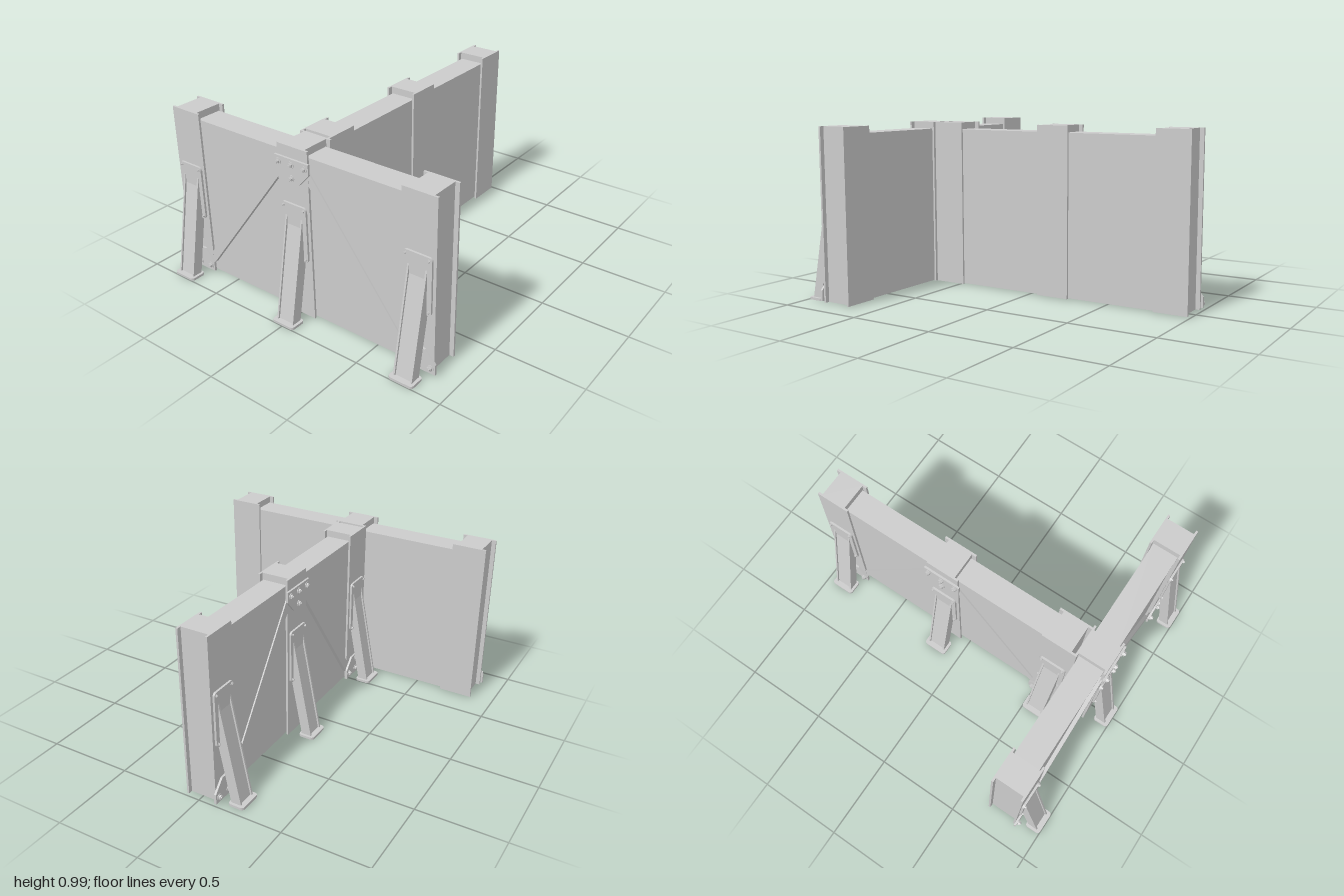
import * as THREE from 'three';

const grey = new THREE.MeshStandardMaterial({ color: 0xcccccc, flatShading: true });
const FACE = 0.092; // front face of the post flanges, measured from the wall's middle

function add(parent, name, geometry, x = 0, y = 0, z = 0) {
  const mesh = new THREE.Mesh(geometry, grey);
  mesh.name = name;
  mesh.position.set(x, y, z);
  parent.add(mesh);
  return mesh;
}

const box = (w, h, d) => new THREE.BoxGeometry(w, h, d);

function extrude(shape, depth) {
  return new THREE.ExtrudeGeometry(shape, { depth, bevelEnabled: false, curveSegments: 4 });
}

const polygon = (points) => new THREE.Shape(points.map(([x, y]) => new THREE.Vector2(x, y)));

function roundedPlate(w, h, r, depth) {
  const s = new THREE.Shape();
  const a = w / 2, b = h / 2;
  s.absarc(a - r, b - r, r, 0, Math.PI / 2);
  s.absarc(-a + r, b - r, r, Math.PI / 2, Math.PI);
  s.absarc(-a + r, -b + r, r, Math.PI, Math.PI * 1.5);
  s.absarc(a - r, -b + r, r, Math.PI * 1.5, Math.PI * 2);
  return extrude(s, depth);
}

// Washer with a hexagonal head and a stud end, pointing to +z
function addBolt(parent, x, y, z, r) {
  const bolt = new THREE.Group();
  bolt.name = 'bolt';
  bolt.position.set(x, y, z);
  const layers = [['washer', r, 0.2, 16], ['hexHead', r * 0.72, 0.75, 6], ['stud', r * 0.4, 1, 10]];
  for (const [name, radius, height, sides] of layers) {
    const h = height * r;
    add(bolt, name, new THREE.CylinderGeometry(radius, radius, h, sides).rotateX(Math.PI / 2), 0, 0, h / 2);
  }
  parent.add(bolt);
}

// Box post with wide flanges at front and back
function addPost(parent, x) {
  const post = new THREE.Group();
  post.name = 'post';
  post.position.x = x;
  add(post, 'postCore', box(0.15, 0.98, 0.17), 0, 0.495, 0);
  for (const side of [-1, 1]) {
    add(post, 'postFlange', box(0.2, 0.98, 0.012), 0, 0.495, side * (FACE - 0.006));
  }
  parent.add(post);
}

// Bolted plate; up = 1 narrows upward, up = -1 narrows downward
function addGusset(parent, x, y, up) {
  const gusset = new THREE.Group();
  gusset.name = 'gussetPlate';
  gusset.position.set(x, y, FACE);
  const points = [[-0.113, 0], [0.113, 0], [0.113, 0.06], [0.05, 0.13], [-0.05, 0.13], [-0.113, 0.06]]
    .map(([px, py]) => [px, py * up]);
  add(gusset, 'plate', extrude(polygon(points), 0.012));
  for (const bx of [-0.085, 0, 0.085]) addBolt(gusset, bx, 0.032 * up, 0.012, 0.019);
  addBolt(gusset, 0, 0.106 * up, 0.012, 0.019);
  parent.add(gusset);
}

// Leaning prop: wall plate, two side flanges, sunken web and foot
function addProp(parent, x) {
  const prop = new THREE.Group();
  prop.name = 'prop';
  prop.position.x = x;

  add(prop, 'wallPlate', roundedPlate(0.165, 0.32, 0.02, 0.012), 0, 0.508, FACE);
  for (const bx of [-0.067, 0.067]) {
    for (const by of [0.365, 0.65]) addBolt(prop, bx, by, FACE + 0.012, 0.01);
  }

  const slab = (outer, inner, width) => extrude(polygon([
    [outer, 0.012], [FACE, 0.012 + (outer - FACE) / 0.195],
    [FACE, 0.012 + (inner - FACE) / 0.195], [inner, 0.012],
  ]), width).translate(0, 0, -width / 2).rotateY(-Math.PI / 2);
  for (const side of [-1, 1]) add(prop, 'propFlange', slab(0.218, 0.158, 0.01), side * 0.051);
  add(prop, 'propWeb', slab(0.208, 0.194, 0.1));

  add(prop, 'foot', roundedPlate(0.145, 0.094, 0.018, 0.014).rotateX(-Math.PI / 2), 0, 0, 0.193);
  parent.add(prop);
}

// Diagonal angle bar between the upper and a lower gusset
function addBrace(parent, side, spacing) {
  const inner = new THREE.Vector2(side * 0.08, 0.864);
  const outer = new THREE.Vector2(side * (spacing - 0.085), 0.08);
  const [a, b] = side > 0 ? [inner, outer] : [outer, inner];
  const length = a.distanceTo(b);
  const brace = new THREE.Group();
  brace.name = 'brace';
  brace.position.set((a.x + b.x) / 2, (a.y + b.y) / 2, 0);
  brace.rotation.z = Math.atan2(b.y - a.y, b.x - a.x);
  add(brace, 'braceFace', box(length, 0.05, 0.008), 0, 0, 0.087);
  add(brace, 'braceLip', box(length, 0.008, 0.03), 0, -0.021, 0.076);
  parent.add(brace);
}

function createWall(name, spacing) {
  const wall = new THREE.Group();
  wall.name = name;
  for (const i of [-1, 0, 1]) {
    addPost(wall, i * spacing);
    addProp(wall, i * spacing);
  }
  for (const side of [-1, 1]) {
    const width = spacing - 0.14;
    add(wall, 'panel', box(width, 0.925, 0.134), side * spacing / 2, 0.4675, 0);
    add(wall, 'topRail', box(width, 0.018, 0.148), side * spacing / 2, 0.936, 0);
    addBrace(wall, side, spacing);
    addGusset(wall, side * spacing, 0.015, 1);
  }
  addGusset(wall, 0, 0.922, -1);
  return wall;
}

export function createModel() {
  const model = new THREE.Group();
  model.name = 'proppedWalls';

  const frontWall = createWall('frontWall', 0.765);
  frontWall.position.z = 0.759;
  model.add(frontWall);

  // Second wall runs backward from the first, props toward -x
  const rearWall = createWall('rearWall', 0.728);
  rearWall.rotation.y = -Math.PI / 2;
  rearWall.position.set(-0.008, 0, -0.158);
  model.add(rearWall);

  return model;
}
